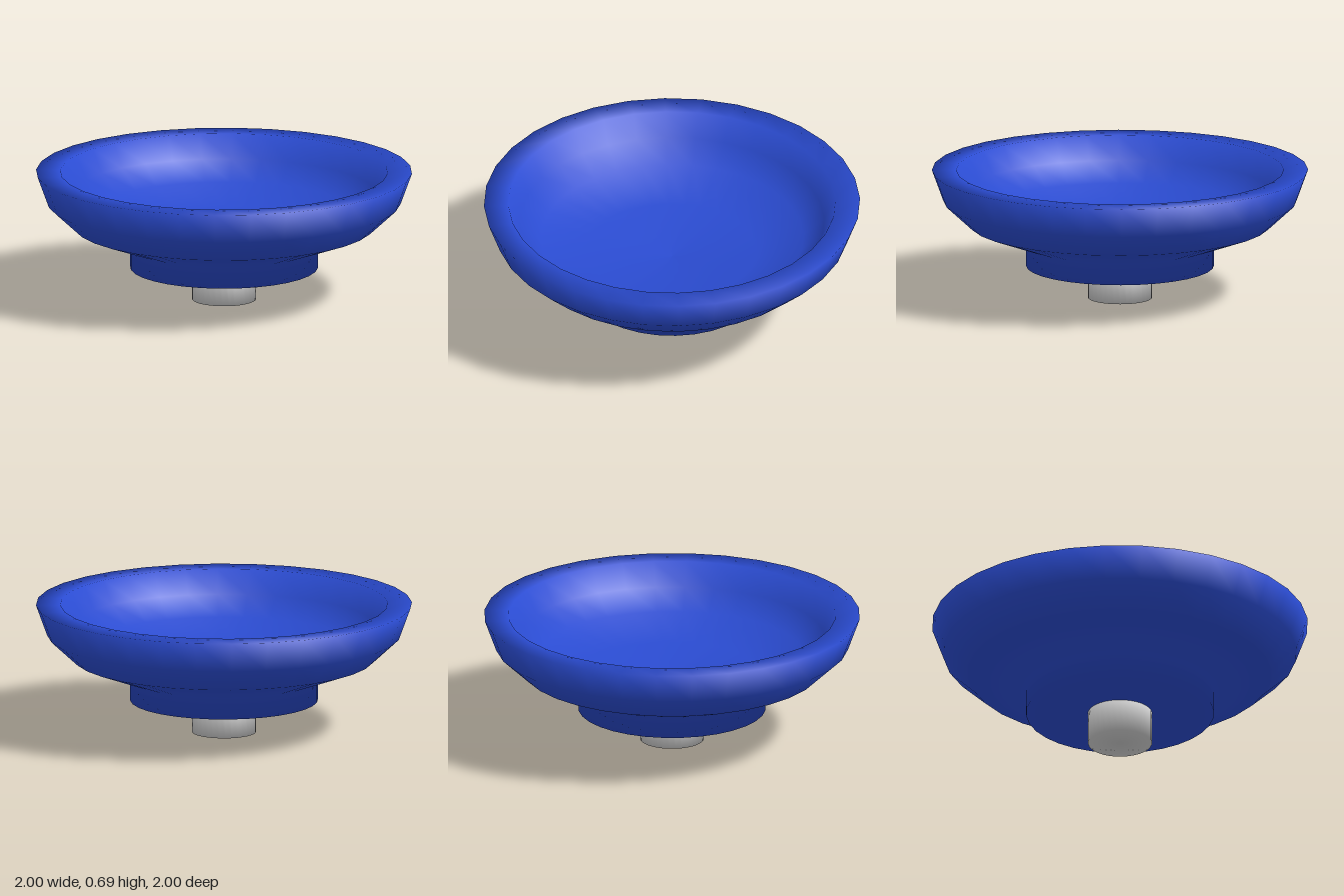
import * as THREE from 'three';

// Solid of revolution from [radius, height] pairs, running from the bottom outwards and up
function turned(name, profile, color) {
  const points = profile.map(([r, y]) => new THREE.Vector2(r, y));
  const mesh = new THREE.Mesh(
    new THREE.LatheGeometry(points, 32),
    new THREE.MeshStandardMaterial({ color })
  );
  mesh.name = name;
  return mesh;
}

export function createModel() {
  const model = new THREE.Group();
  model.name = 'dish';

  // Bowl with its foot, flat rim and hollow inside
  model.add(turned('bowl', [
    [0, 0.175], [0.5, 0.175], [0.5, 0.29],            // foot
    [0.8, 0.4], [0.94, 0.53], [1, 0.695],             // outer wall
    [0.87, 0.695],                                    // rim
    [0.81, 0.57], [0.7, 0.47], [0.45, 0.385], [0, 0.35] // hollow
  ], 0x2a4bd0));

  // Short stem under the foot
  model.add(turned('stem', [
    [0, 0], [0.17, 0], [0.17, 0.18], [0, 0.18]
  ], 0xcccccc));

  return model;
}
